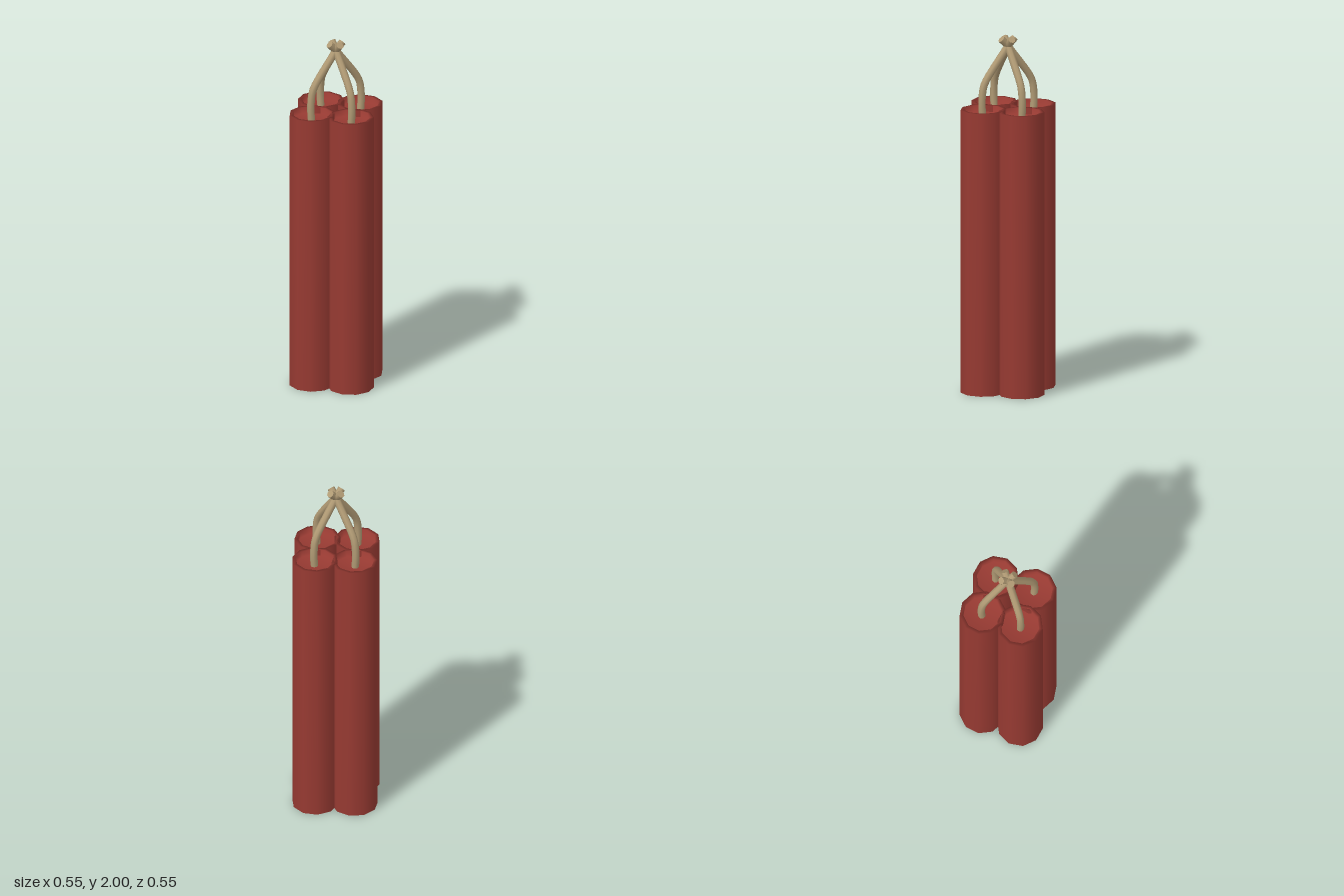
import * as THREE from 'three';

export function createModel() {
  const model = new THREE.Group();
  const red = new THREE.MeshStandardMaterial({ color: 0x973a32 });
  red.name = 'red paper';
  const tan = new THREE.MeshStandardMaterial({ color: 0xb09a74 });
  tan.name = 'tan cord';

  // Ten-sided tube with a rim and a shallow recess at both ends
  const H = 1.6, R = 0.128, inner = 0.108, depth = 0.035;
  const profile = [
    [0, depth], [inner, depth], [inner, 0], [R, 0],
    [R, H], [inner, H], [inner, H - depth], [0, H - depth],
  ].map(([r, y]) => new THREE.Vector2(r, y));
  const stickGeometry = new THREE.LatheGeometry(profile, 10);

  // Cord rises from the stick, leans in and crosses the centre
  const path = new THREE.CatmullRomCurve3([
    [0.158, 1.54], [0.164, 1.64], [0.154, 1.725], [0.135, 1.765],
    [0.025, 1.91], [0, 1.943], [-0.042, 1.985],
  ].map(([x, y]) => new THREE.Vector3(x, y, 0)));
  const fuseGeometry = new THREE.TubeGeometry(path, 18, 0.021, 8);
  const tipGeometry = new THREE.CircleGeometry(0.021, 8);

  // Four identical sticks around the centre
  for (let i = 0; i < 4; i++) {
    const unit = new THREE.Group();
    unit.name = `stickWithFuse${i + 1}`;

    const stick = new THREE.Mesh(stickGeometry, red);
    stick.name = 'stick';
    stick.position.x = 0.155;

    const fuse = new THREE.Mesh(fuseGeometry, tan);
    fuse.name = 'fuse';

    const tip = new THREE.Mesh(tipGeometry, tan);
    tip.name = 'fuseTip';
    tip.position.copy(path.getPoint(1));
    tip.quaternion.setFromUnitVectors(new THREE.Vector3(0, 0, 1), path.getTangent(1));

    unit.add(stick, fuse, tip);
    unit.rotation.y = i * Math.PI / 2;
    model.add(unit);
  }
  return model;
}
